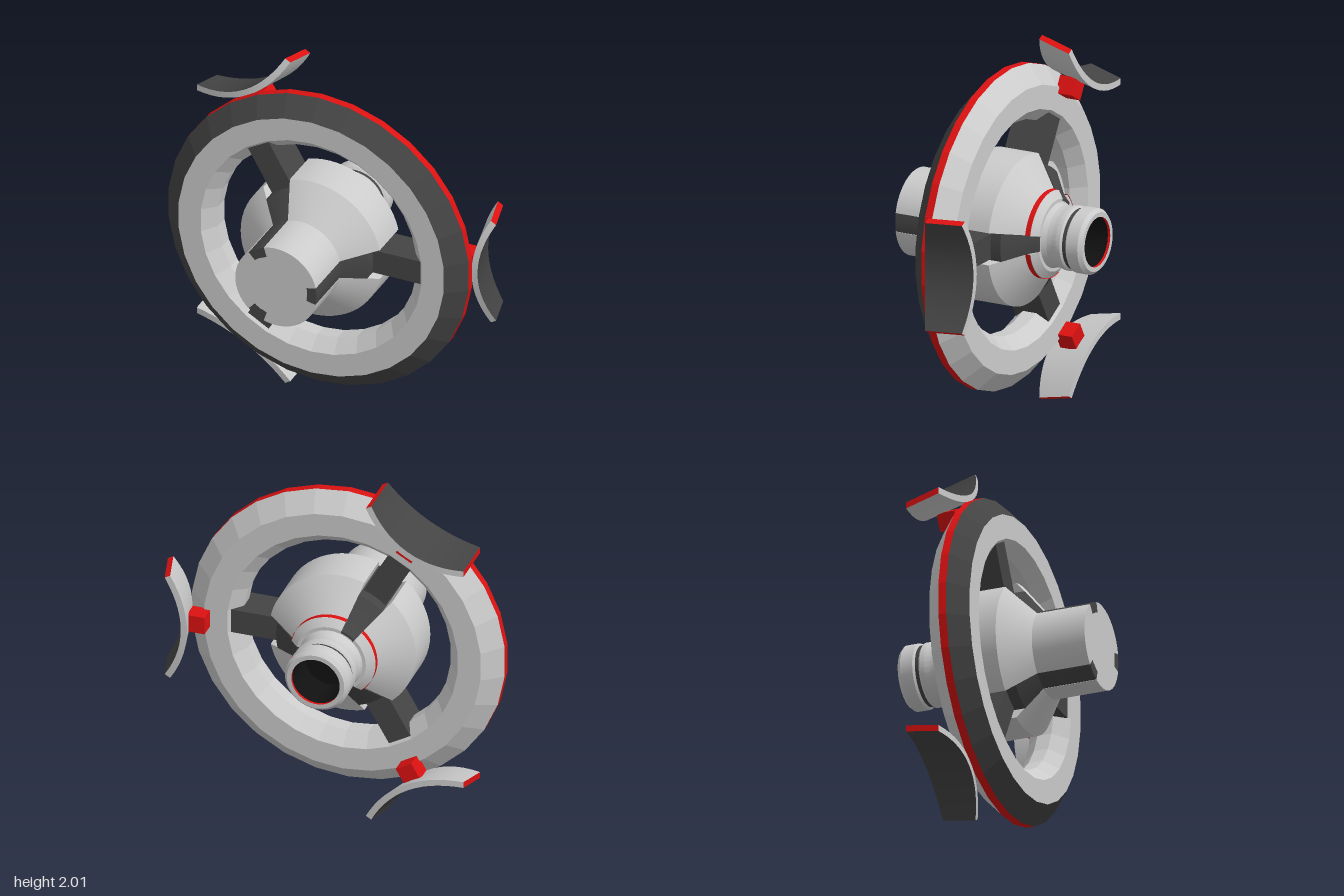
import * as THREE from 'three';
import { toCreasedNormals } from 'three/addons/utils/BufferGeometryUtils.js';
import { ParametricGeometry } from 'three/addons/geometries/ParametricGeometry.js';

const material = (color) => new THREE.MeshStandardMaterial({ color, side: THREE.DoubleSide });
const deg = THREE.MathUtils.degToRad;

export function createModel() {
  const light = material(0xcccccc);
  const dark = material(0x444444);
  const red = material(0xdd1111);
  const model = new THREE.Group();
  model.name = 'spokedWheel';
  model.position.set(-0.065, 0.99, 0);

  function add(parent, name, geometry, mat) {
    const mesh = new THREE.Mesh(geometry, mat);
    mesh.name = name;
    parent.add(mesh);
    return mesh;
  }

  // Revolve [radius, z] points about the z axis, from one angle to another
  function revolve(profile, segments, from = 0, to = 360, crease = 0.3) {
    const points = profile.map(([r, z]) => new THREE.Vector2(r, z));
    const geometry = new THREE.LatheGeometry(points, segments, deg(from + 90), deg(to - from));
    geometry.rotateX(Math.PI / 2);
    return toCreasedNormals(geometry, crease);
  }

  // Revolved wedge with flat end walls
  function addWedge(name, profile, mat, from, to, segments) {
    const wedge = new THREE.Group();
    wedge.name = name;
    model.add(wedge);
    add(wedge, name + 'Surface', revolve(profile, segments, from, to), mat);
    const shape = new THREE.Shape(profile.map(([r, z]) => new THREE.Vector2(r, z)));
    for (const angle of [from, to]) {
      const wall = new THREE.ShapeGeometry(shape);
      wall.rotateX(Math.PI / 2).rotateZ(deg(angle));
      add(wedge, name + 'Wall', wall, mat);
    }
  }

  // Faceted rim: front bevel, outer band, and the rest of the section
  const rimPart = (name, profile, mat) =>
    add(model, name, revolve(profile, 30, 6, 366, 0.1), mat);
  rimPart('rimFrontBevel', [[0.877, 0.022], [0.775, 0.115]], dark);
  rimPart('rimOuterBand', [[0.877, -0.022], [0.877, 0.022]], red);
  rimPart('rimBody', [[0.775, 0.115], [0.645, 0.115], [0.58, 0.04], [0.58, -0.04],
    [0.645, -0.115], [0.775, -0.115], [0.877, -0.022]], light);

  // Hub core and hollow rear neck
  add(model, 'hubCore', revolve([[0, -0.3], [0.182, -0.3], [0.182, 0.55], [0, 0.55]], 48), light);
  add(model, 'rearNeck', revolve([[0.135, -0.545], [0.16, -0.545], [0.178, -0.525],
    [0.178, -0.455], [0.165, -0.445]], 36), light);
  add(model, 'neckGroove', revolve([[0.165, -0.445], [0.165, -0.425]], 36), dark);
  add(model, 'neckBase', revolve([[0.165, -0.425], [0.175, -0.415], [0.175, -0.39],
    [0.166, -0.36], [0.166, -0.33], [0.176, -0.3]], 36), light);
  add(model, 'neckInnerRim', revolve([[0.135, -0.53], [0.135, -0.545]], 36), red);
  add(model, 'neckBore', revolve([[0, -0.33], [0.135, -0.33], [0.135, -0.53]], 36), material(0x111111));

  const hubProfile = [[0, -0.3], [0.195, -0.3], [0.235, -0.27], [0.235, -0.24], [0.41, -0.115],
    [0.41, 0.115], [0.237, 0.25], [0.237, 0.55], [0, 0.55]];
  const railProfile = [[0.18, -0.3], [0.195, -0.3], [0.235, -0.25], [0.355, -0.16],
    [0.355, 0.16], [0.235, 0.25], [0.235, 0.55], [0.18, 0.55]];

  // Curved pad: u along the arc, v front to back, w through the thickness
  function padPoint(u, v, w, target) {
    const s = u * 2 - 1;
    const q = s * s;
    const tilt = Math.atan(0.57 * s);
    const r = THREE.MathUtils.lerp(0.905 + 0.085 * q, 0.845 + 0.095 * q, v);
    const z = THREE.MathUtils.lerp(-0.02 - 0.05 * q, -0.28 + 0.015 * q, v);
    target.set(r - 0.035 * w * Math.cos(tilt), 0.297 * s + 0.035 * w * Math.sin(tilt), z);
  }
  const padFaces = [
    ['padConcaveFace', (a, b, t) => padPoint(a, b, 0, t), dark],
    ['padConvexFace', (a, b, t) => padPoint(a, b, 1, t), light],
    ['padFrontEdge', (a, b, t) => padPoint(a, 0, b, t), light],
    ['padBackEdge', (a, b, t) => padPoint(a, 1, b, t), light],
    ['padTip', (a, b, t) => padPoint(0, a, b, t), red],
    ['padTip', (a, b, t) => padPoint(1, a, b, t), red],
  ];

  // Three-fold hub wedges, spokes, struts and pads
  for (const angle of [0, 120, 240]) {
    const from = angle + 12.5;
    const to = angle + 107.5;
    addWedge('hubSector', hubProfile, light, from, to, 16);
    addWedge('hubRail', railProfile, dark, angle - 12.5, from, 4);
    add(model, 'hubRedBand', revolve([[0.239, -0.27], [0.239, -0.24]], 16, from, to), red);

    const arm = new THREE.Group();
    arm.name = 'arm';
    arm.rotation.z = deg(angle);
    model.add(arm);
    add(arm, 'spoke', new THREE.BoxGeometry(0.345, 0.138, 0.2), dark).position.x = 0.4725;
    add(arm, 'padStrut', new THREE.BoxGeometry(0.1, 0.1, 0.1), red).position.set(0.79, 0, -0.15);

    const pad = new THREE.Group();
    pad.name = 'pad';
    arm.add(pad);
    for (const [name, surface, mat] of padFaces) {
      add(pad, name, new ParametricGeometry(surface, 14, 2), mat);
    }
  }

  const root = new THREE.Group();
  root.name = 'model';
  root.add(model);
  return root;
}
